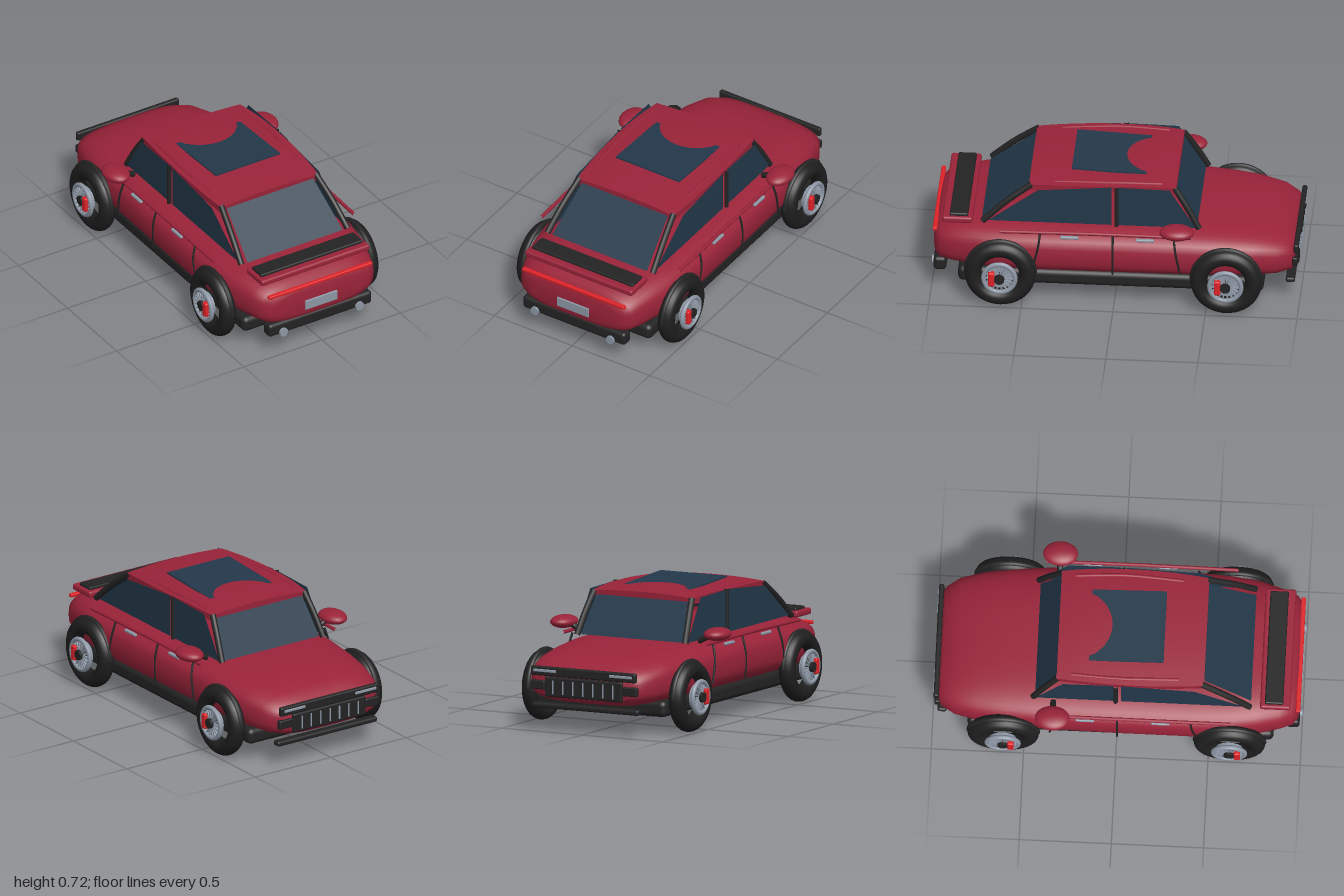
import * as THREE from 'three';
import { toCreasedNormals } from 'three/addons/utils/BufferGeometryUtils.js';
import { RoundedBoxGeometry } from 'three/addons/geometries/RoundedBoxGeometry.js';

const mat = (name, color, side = THREE.FrontSide) => {
  const m = new THREE.MeshStandardMaterial({ color, side });
  m.name = name;
  return m;
};
const V = (x, y, z) => new THREE.Vector3(x, y, z);

// Closed body skin from superellipse sections [z, halfWidth, bottom, top]
function loft(sections, n = 48, power = 3.2) {
  const pos = [], index = [];
  const bend = v => Math.sign(v) * Math.abs(v) ** (2 / power);
  for (const [z, w, y0, y1] of sections) {
    for (let j = 0; j < n; j++) {
      const a = (j / n) * Math.PI * 2;
      pos.push(w * bend(Math.cos(a)), (y0 + y1) / 2 + ((y1 - y0) / 2) * bend(Math.sin(a)), z);
    }
  }
  const last = sections.length - 1;
  for (let i = 0; i < last; i++) {
    for (let j = 0; j < n; j++) {
      const a = i * n + j, b = i * n + ((j + 1) % n);
      index.push(a, b, a + n, b, b + n, a + n);
    }
  }
  for (const s of [0, last]) {
    const [z, , y0, y1] = sections[s], c = pos.length / 3;
    pos.push(0, (y0 + y1) / 2, z);
    for (let j = 0; j < n; j++) {
      const a = s * n + j, b = s * n + ((j + 1) % n);
      if (s) index.push(c, a, b); else index.push(c, b, a);
    }
  }
  const g = new THREE.BufferGeometry();
  g.setAttribute('position', new THREE.Float32BufferAttribute(pos, 3));
  g.setIndex(index);
  return toCreasedNormals(g, 0.7);
}

// Flat four-cornered pane
function pane(corners) {
  const g = new THREE.BufferGeometry().setFromPoints(corners);
  g.setIndex([0, 1, 2, 0, 2, 3]);
  g.computeVertexNormals();
  return g;
}

export function createModel() {
  const car = new THREE.Group();
  car.name = 'car';
  const paint = mat('crimson paint', 0x9a2339);
  const trim = mat('black trim', 0x232323);
  const rubber = mat('rubber', 0x1e1e1e);
  const glass = mat('tinted glass', 0x23384a, THREE.DoubleSide);
  const silver = mat('silver', 0x8d97a5);
  const red = mat('bright red', 0xdd2228);

  const add = (name, geo, m, x = 0, y = 0, z = 0, parent = car) => {
    const mesh = new THREE.Mesh(geo, m);
    mesh.name = name;
    mesh.position.set(x, y, z);
    parent.add(mesh);
    return mesh;
  };
  const box = (name, w, h, d, m, x, y, z, parent) =>
    add(name, new THREE.BoxGeometry(w, h, d), m, x, y, z, parent);
  const rbox = (name, w, h, d, r, m, x, y, z, parent) =>
    add(name, new RoundedBoxGeometry(w, h, d, 3, r), m, x, y, z, parent);
  const rod = (name, points, r, m) =>
    add(name, new THREE.TubeGeometry(new THREE.CatmullRomCurve3(points), 16, r, 10), m);

  // Body and floor
  add('body', loft([
    [-0.975, 0.30, 0.19, 0.335], [-0.955, 0.335, 0.17, 0.362], [-0.88, 0.382, 0.155, 0.397],
    [-0.75, 0.415, 0.15, 0.425], [-0.6, 0.435, 0.15, 0.442], [-0.4, 0.45, 0.15, 0.455],
    [0, 0.457, 0.15, 0.46], [0.4, 0.457, 0.15, 0.458], [0.6, 0.45, 0.15, 0.455],
    [0.75, 0.425, 0.15, 0.45], [0.88, 0.388, 0.155, 0.43], [0.95, 0.36, 0.165, 0.408],
    [0.98, 0.32, 0.185, 0.38], [0.988, 0.27, 0.21, 0.355],
  ]), paint);
  rbox('floor', 0.81, 0.09, 1.66, 0.03, trim, 0, 0.143, 0.02);

  // Domed roof panel
  const roofGeo = new THREE.BoxGeometry(2, 0.035, 0.8, 16, 1, 16);
  const rp = roofGeo.attributes.position;
  for (let i = 0; i < rp.count; i++) {
    const z = rp.getZ(i) + 0.07;
    const x = rp.getX(i) * (0.335 - 0.15 * (z - 0.07) ** 2);
    const crown = 0.708 - (z > -0.08 ? 0.075 : 0.2) * (z + 0.08) ** 2;
    rp.setXYZ(i, x, crown - 0.15 * x * x - 0.0175 + rp.getY(i), z);
  }
  roofGeo.computeVertexNormals();
  add('roof', roofGeo, paint);
  const sunroof = box('sunroof', 0.41, 0.008, 0.405, glass, 0, 0.708, 0.043);
  sunroof.rotation.x = -0.05;

  // Front and rear screens
  add('rearWindow', pane([V(-0.305, 0.455, 0.725), V(0.305, 0.455, 0.725),
    V(0.275, 0.665, 0.46), V(-0.275, 0.665, 0.46)]), glass);
  add('windscreen', pane([V(0.315, 0.455, -0.445), V(-0.315, 0.455, -0.445),
    V(-0.28, 0.68, -0.32), V(0.28, 0.68, -0.32)]), glass);

  for (const s of [1, -1]) {
    // Side windows and pillars
    add('frontSideWindow', pane([V(s * 0.342, 0.455, -0.02), V(s * 0.342, 0.455, -0.44),
      V(s * 0.342, 0.685, -0.295), V(s * 0.342, 0.69, -0.02)]), glass);
    add('rearSideWindow', pane([V(s * 0.342, 0.455, 0.02), V(s * 0.342, 0.455, 0.69),
      V(s * 0.342, 0.655, 0.42), V(s * 0.342, 0.69, 0.02)]), glass);
    rod('rearPillar', [V(s * 0.34, 0.45, 0.72), V(s * 0.323, 0.565, 0.595), V(s * 0.302, 0.67, 0.455)], 0.017, trim);
    rod('frontPillar', [V(s * 0.335, 0.45, -0.455), V(s * 0.32, 0.57, -0.39), V(s * 0.302, 0.68, -0.32)], 0.017, trim);
    rod('centrePillar', [V(s * 0.345, 0.45, -0.008), V(s * 0.345, 0.695, -0.008)], 0.012, trim);
    rod('roofRail', [V(s * 0.285, 0.688, -0.25), V(s * 0.298, 0.692, 0.02), V(s * 0.285, 0.678, 0.33)], 0.01, paint);

    // Beltline, doors and handles
    rod('beltMoulding', [V(s * 0.445, 0.452, -0.42), V(s * 0.447, 0.455, 0.1), V(s * 0.445, 0.448, 0.62)], 0.01, paint);
    for (const [zt, zb, yb] of [[0.4, 0.435, 0.25], [0.005, 0.005, 0.21], [-0.325, -0.36, 0.23]]) {
      rod('doorSeam', [V(s * 0.435, 0.44, zt), V(s * 0.454, 0.36, zt * 0.7 + zb * 0.3), V(s * 0.453, yb, zb)], 0.006, trim);
    }
    for (const z of [0.24, -0.17]) rbox('doorHandle', 0.02, 0.016, 0.1, 0.006, silver, s * 0.45, 0.428, z);

    // Mirrors
    add('mirror', new THREE.SphereGeometry(1, 28, 18), paint, s * 0.475, 0.502, -0.345).scale.set(0.07, 0.036, 0.095);
    rod('mirrorStalk', [V(s * 0.36, 0.455, -0.345), V(s * 0.43, 0.49, -0.345)], 0.016, trim);

    // Wheels and arches
    for (const z of [0.615, -0.612]) {
      const wheel = new THREE.Group();
      wheel.name = 'wheel';
      wheel.position.set(s * 0.455, 0.195, z);
      wheel.rotation.y = (s * Math.PI) / 2; // local +z points outward
      car.add(wheel);
      add('tyre', new THREE.TorusGeometry(0.148, 0.046, 18, 48), rubber, 0, 0, 0, wheel);
      add('rim', new THREE.TorusGeometry(0.086, 0.013, 10, 40), silver, 0, 0, 0.062, wheel);
      const disc = add('brakeDisc', new THREE.CylinderGeometry(0.07, 0.07, 0.012, 32), silver, 0, 0, 0.035, wheel);
      disc.rotation.x = Math.PI / 2;
      for (let k = 0; k < 18; k++) {
        const a = (k / 18) * Math.PI * 2;
        const spoke = box('spoke', 0.07, 0.008, 0.014, silver, Math.cos(a) * 0.053, Math.sin(a) * 0.053, 0.062, wheel);
        spoke.rotation.z = a;
      }
      const hub = add('hub', new THREE.CylinderGeometry(0.028, 0.028, 0.06, 20), trim, 0, 0, 0.055, wheel);
      hub.rotation.x = Math.PI / 2;
      rbox('caliper', 0.035, 0.085, 0.035, 0.008, red, -s * 0.043, 0, 0.07, wheel);
      const arch = add('wheelArch', new THREE.TorusGeometry(0.185, 0.015, 10, 36, Math.PI), trim, s * 0.45, 0.2, z);
      arch.rotation.y = Math.PI / 2;
    }

    // Exhausts, headlights and lower front vents
    const pipe = add('exhaust', new THREE.CylinderGeometry(0.025, 0.025, 0.075, 20), silver, s * 0.243, 0.135, 0.963);
    pipe.rotation.x = Math.PI / 2;
    rbox('headlight', 0.14, 0.016, 0.012, 0.004, silver, s * 0.235, 0.335, -0.994);
    rbox('frontVent', 0.09, 0.05, 0.03, 0.008, trim, s * 0.285, 0.255, -0.975);
  }

  // Rear spoiler, light bar, plate and bumper
  rbox('spoiler', 0.69, 0.036, 0.165, 0.012, paint, 0, 0.446, 0.857);
  rbox('spoilerTop', 0.65, 0.025, 0.1, 0.008, trim, 0, 0.467, 0.85);
  rbox('tailLight', 0.66, 0.02, 0.025, 0.006, red, 0, 0.376, 0.98);
  rbox('numberPlate', 0.205, 0.058, 0.014, 0.004, silver, 0, 0.256, 0.989);
  rbox('rearBumper', 0.66, 0.078, 0.07, 0.02, trim, 0, 0.157, 0.953);

  // Front light panel, grille and bumper
  rbox('lightPanel', 0.65, 0.052, 0.028, 0.01, trim, 0, 0.332, -0.982);
  rbox('grille', 0.48, 0.11, 0.028, 0.01, trim, 0, 0.248, -0.978);
  for (let i = -3; i <= 3; i++) box('grilleBar', 0.007, 0.075, 0.008, silver, i * 0.062, 0.248, -0.993);
  rbox('frontBumper', 0.66, 0.03, 0.05, 0.012, trim, 0, 0.14, -0.95);

  return car;
}
